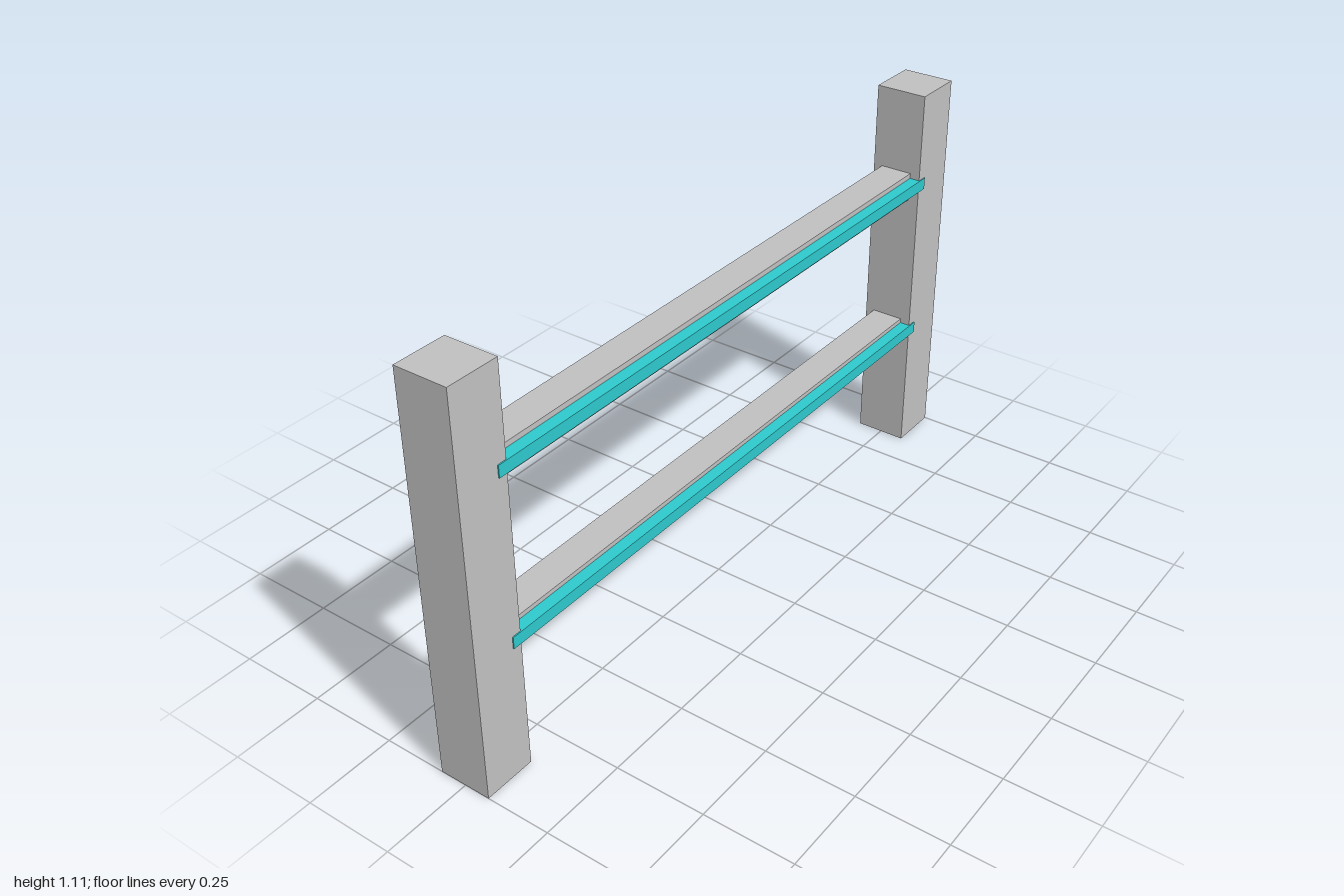
import * as THREE from 'three';

export function createModel() {
  const model = new THREE.Group();
  const grey = new THREE.MeshStandardMaterial({ color: 0xc0c0c0 });
  grey.name = 'grey';
  const cyan = new THREE.MeshStandardMaterial({ color: 0x2ec9cc });
  cyan.name = 'cyan';

  const box = (name, material, size, position) => {
    const mesh = new THREE.Mesh(new THREE.BoxGeometry(...size), material);
    mesh.name = name;
    mesh.position.set(...position);
    model.add(mesh);
  };

  // square end posts
  const postWidth = 0.147, postHeight = 1.11;
  for (const [name, side] of [['leftPost', 1], ['rightPost', -1]]) {
    box(name, grey, [postWidth, postHeight, postWidth],
      [side * (1 - postWidth / 2), postHeight / 2, -0.0015]);
  }

  // two rails, each with a coloured strip that overlaps the post faces
  for (const [name, railY, stripY] of [['lower', 0.371, 0.382], ['upper', 0.836, 0.845]]) {
    box(name + 'Rail', grey, [1.708, 0.08, 0.092], [0, railY, -0.003]);
    box(name + 'Strip', cyan, [1.76, 0.033, 0.036], [0, stripY, 0.057]);
  }
  return model;
}
